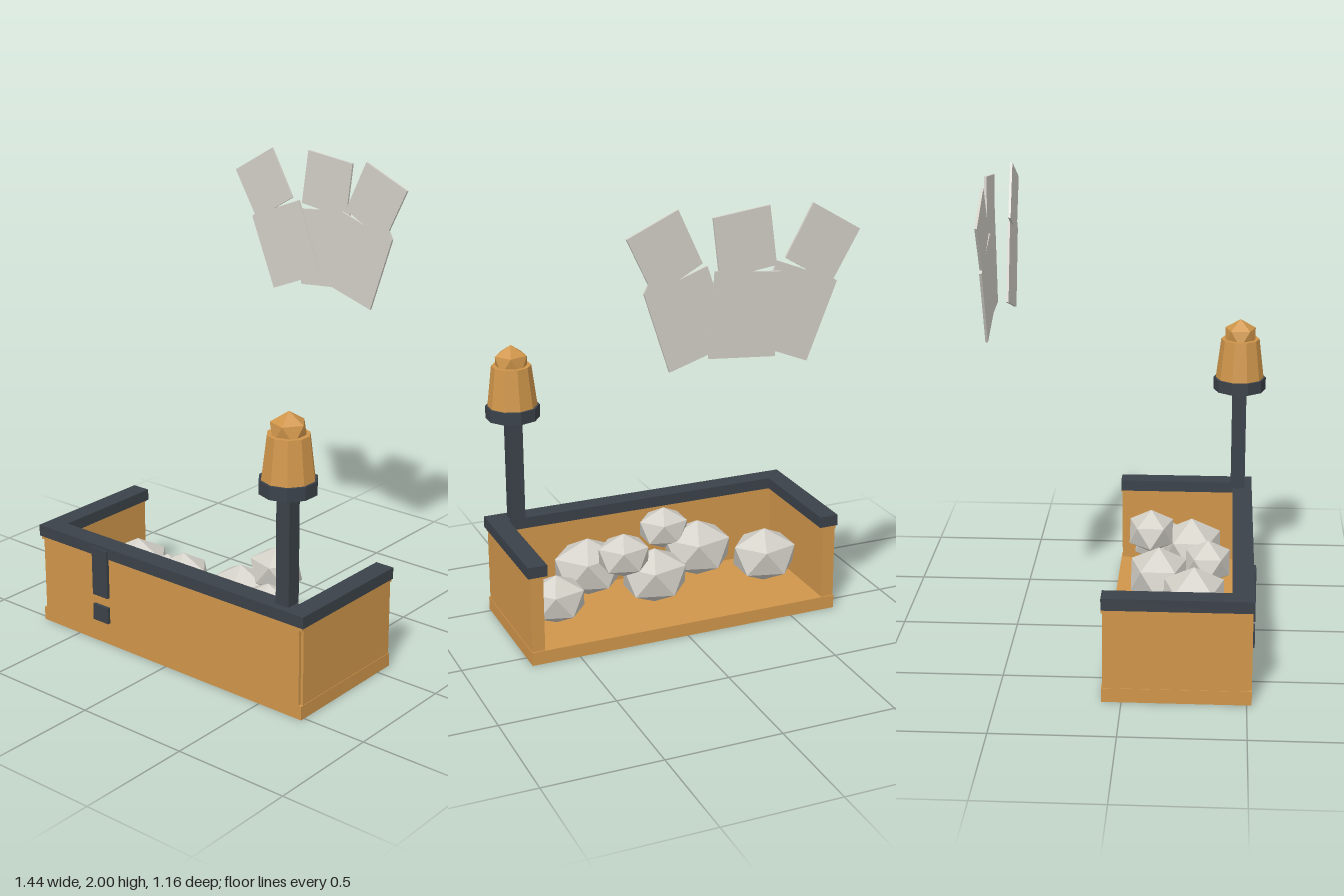
import * as THREE from 'three';

const flat = (name, color) => {
  const m = new THREE.MeshStandardMaterial({ color, flatShading: true });
  m.name = name;
  return m;
};

export function createModel() {
  const root = new THREE.Group();
  root.name = 'rockPlanter';
  const amber = flat('amber wood', 0xd0964b);
  const slate = flat('dark slate', 0x3b424a);
  const stone = flat('pale stone', 0xd2cfc7);

  const add = (name, geo, mat, x = 0, y = 0, z = 0) => {
    const mesh = new THREE.Mesh(geo, mat);
    mesh.name = name;
    mesh.position.set(x, y, z);
    root.add(mesh);
    return mesh;
  };
  // Box given by its lower and upper corners
  const box = (name, mat, [x0, y0, z0], [x1, y1, z1]) =>
    add(name, new THREE.BoxGeometry(x1 - x0, y1 - y0, z1 - z0), mat,
      (x0 + x1) / 2, (y0 + y1) / 2, (z0 + z1) / 2);
  const outline = (pts) => new THREE.Shape(pts.map(([x, y]) => new THREE.Vector2(x, y)));
  // U-shaped band, open at the back, following the tops of the walls
  const band = (name, mat, y0, y1, half, front, inHalf, inFront) => {
    const geo = new THREE.ExtrudeGeometry(outline([
      [-half, -0.08], [-half, front], [half, front], [half, -0.08],
      [inHalf, -0.08], [inHalf, inFront], [-inHalf, inFront], [-inHalf, -0.08],
    ]), { depth: y1 - y0, bevelEnabled: false });
    geo.rotateX(Math.PI / 2);
    add(name, geo, mat, 0, y1, 0);
  };
  // Icosahedron standing on one vertex
  const ico = () => new THREE.IcosahedronGeometry(1, 0).rotateZ(-Math.atan2(0.5257, 0.8507));

  // Open-backed trough with notched front corners
  box('floor', amber, [-0.714, 0, -0.08], [0.714, 0.06, 0.52]);
  box('frontWall', amber, [-0.7, 0.06, 0.46], [0.7, 0.385, 0.52]);
  for (const s of [-1, 1]) {
    const [a, b] = s < 0 ? [-0.712, -0.655] : [0.655, 0.712];
    box('sideWall', amber, [a, 0.06, -0.075], [b, 0.385, 0.507]);
  }
  band('wallTopStrip', amber, 0.385, 0.4, 0.714, 0.52, 0.655, 0.46);
  band('rim', slate, 0.4, 0.45, 0.722, 0.525, 0.637, 0.437);

  // Mark on the front wall
  box('markBar', slate, [-0.4, 0.22, 0.52], [-0.315, 0.437, 0.534]);
  box('markDot', slate, [-0.4, 0.102, 0.52], [-0.315, 0.175, 0.534]);

  // Lamp on the front corner
  const lx = 0.593, lz = 0.46;
  box('lampPost', slate, [lx - 0.032, 0.45, lz - 0.032], [lx + 0.032, 0.925, lz + 0.032]);
  add('lampCollar', new THREE.CylinderGeometry(0.118, 0.118, 0.055, 10), slate, lx, 0.9475, lz);
  add('lampShade', new THREE.CylinderGeometry(0.086, 0.108, 0.18, 10), amber, lx, 1.065, lz);
  add('lampTip', ico(), amber, lx, 1.165, lz).scale.setScalar(0.08);

  // Rocks: x, y, z, width radius
  const rocks = [
    [-0.48, 0.205, 0.16, 0.163], [-0.2, 0.24, 0.277, 0.171], [-0.058, 0.34, 0.333, 0.126],
    [0.076, 0.22, 0.118, 0.163], [0.236, 0.36, 0.078, 0.128], [0.335, 0.25, 0.256, 0.172],
    [0.54, 0.2, 0.099, 0.142],
  ];
  for (const [x, y, z, r] of rocks) {
    add('rock', ico(), stone, x, y, z).scale.set(r, r * 0.78, r * 0.87);
  }

  // Three thin notched sheets fanned out behind and above
  const sheet = (name, z, pts) => add(name,
    new THREE.ExtrudeGeometry(outline(pts), { depth: 0.01, bevelEnabled: false }), stone, 0, 0, z);
  sheet('rightSheet', -0.567, [
    [-0.51, 1.87], [-0.305, 1.99], [-0.19, 1.785], [-0.29, 1.725], [-0.155, 1.778],
    [-0.035, 1.465], [-0.29, 1.362], [-0.415, 1.672], [-0.4, 1.683]]);
  sheet('middleSheet', -0.58, [
    [-0.115, 2], [0.12, 1.97], [0.095, 1.765], [0.11, 1.765], [0.135, 1.425],
    [-0.145, 1.402], [-0.17, 1.738], [-0.04, 1.75], [-0.147, 1.765]]);
  sheet('leftSheet', -0.519, [
    [0.235, 2], [0.443, 1.905], [0.357, 1.725], [0.375, 1.69], [0.272, 1.37],
    [0.008, 1.455], [0.115, 1.773], [0.235, 1.73], [0.135, 1.785]]);

  return root;
}
